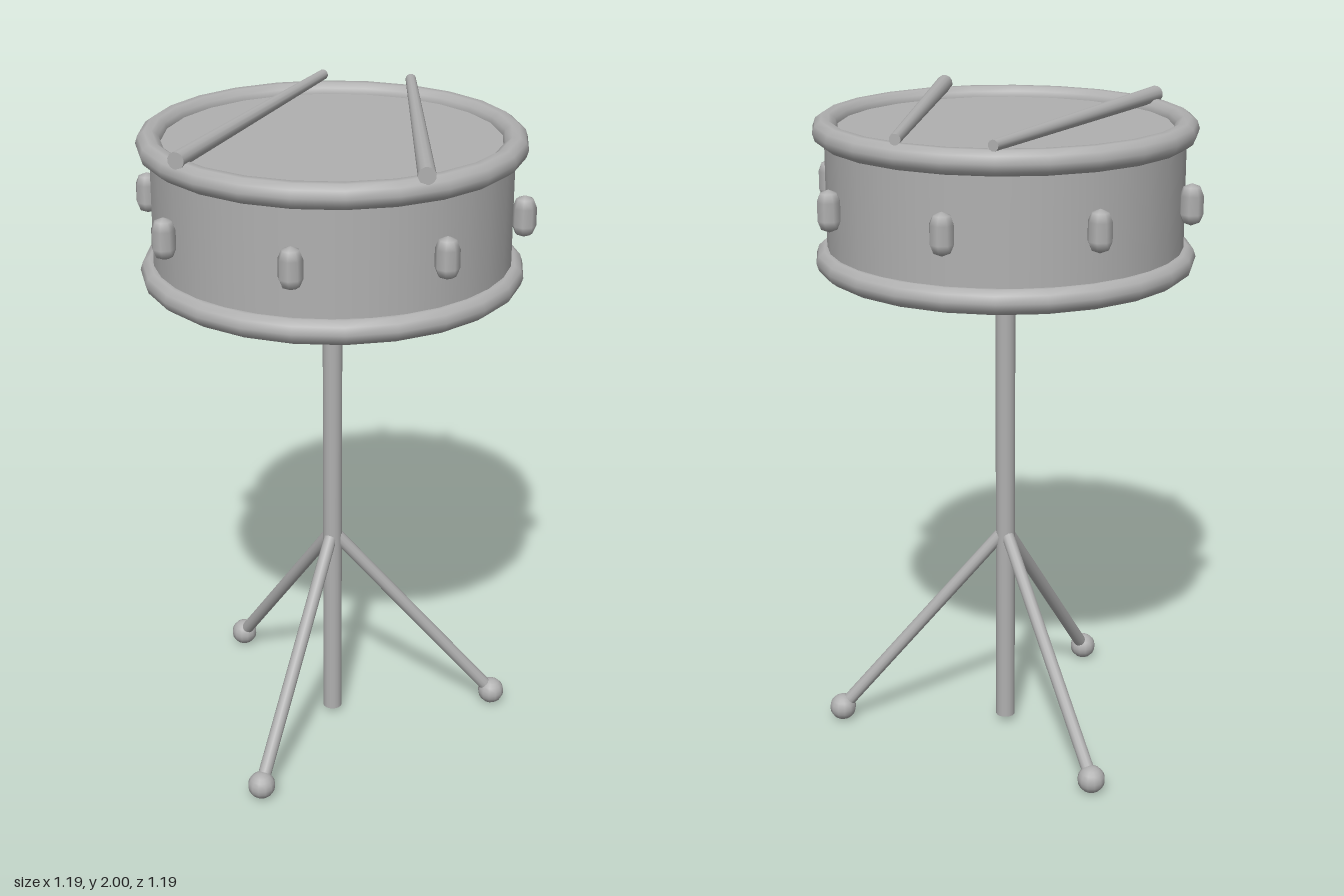
import * as THREE from 'three';

const steel = new THREE.MeshStandardMaterial({ color: 0xb0b0b0 });
steel.name = 'grey';

export function createModel() {
  const group = new THREE.Group();

  const add = (name, geometry, x = 0, y = 0, z = 0) => {
    const mesh = new THREE.Mesh(geometry, steel);
    mesh.name = name;
    mesh.position.set(x, y, z);
    group.add(mesh);
    return mesh;
  };

  // Round rod between two points, with a radius at each end
  const rod = (name, from, to, rFrom, rTo, sides = 12) => {
    const dir = to.clone().sub(from);
    const mesh = add(name, new THREE.CylinderGeometry(rTo, rFrom, dir.length(), sides));
    mesh.position.copy(from).addScaledVector(dir, 0.5);
    mesh.quaternion.setFromUnitVectors(new THREE.Vector3(0, 1, 0), dir.normalize());
  };

  // Drum body with flat heads
  add('shell', new THREE.CylinderGeometry(0.526, 0.526, 0.39, 32), 0, 1.741, 0);

  // Hoops
  for (const [name, y] of [['topHoop', 1.931], ['bottomHoop', 1.551]]) {
    add(name, new THREE.TorusGeometry(0.526, 0.037, 10, 24).rotateX(Math.PI / 2), 0, y, 0);
  }

  // Tension lugs around the shell
  for (let i = 0; i < 8; i++) {
    const a = (i * Math.PI) / 4;
    const lug = add('lug', new THREE.CapsuleGeometry(0.035, 0.053, 2, 8),
      0.558 * Math.cos(a), 1.739, 0.558 * Math.sin(a));
    lug.rotation.y = -a;
  }

  // Drumsticks resting on the top hoop
  for (const side of [-1, 1]) {
    rod('drumstick', new THREE.Vector3(side * 0.341, 1.975, 0.435),
      new THREE.Vector3(side * 0.138, 1.981, -0.535), 0.025, 0.016);
  }

  // Stand pole
  rod('pole', new THREE.Vector3(0, 0.024, 0), new THREE.Vector3(0, 1.56, 0), 0.03, 0.03, 16);

  // Tripod legs with ball feet
  for (let i = 0; i < 3; i++) {
    const a = -0.3 + (i * Math.PI * 2) / 3;
    const foot = new THREE.Vector3(0.526 * Math.cos(a), 0.044, 0.526 * Math.sin(a));
    rod('leg', new THREE.Vector3(0, 0.668, 0), foot, 0.02, 0.02);
    add('foot', new THREE.SphereGeometry(0.042, 12, 10), foot.x, foot.y, foot.z);
  }

  return group;
}
